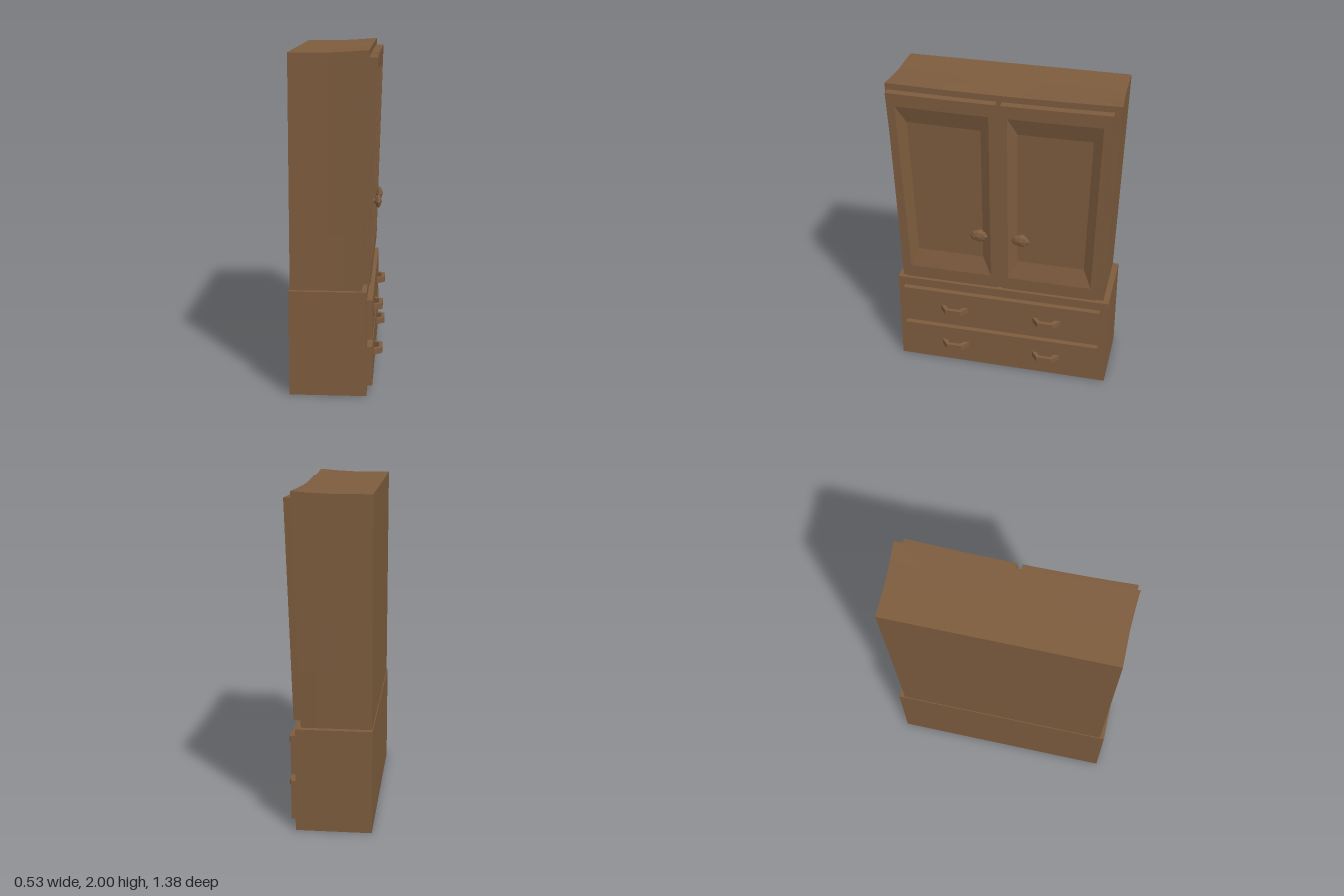
import * as THREE from 'three';

const wood = new THREE.MeshStandardMaterial({ color: 0x7d5c3e, flatShading: true });
const lerp = THREE.MathUtils.lerp;

const BASE_TOP = 0.625, CARCASS_TOP = 1.985;
const rise = (y) => (y - BASE_TOP) / (CARCASS_TOP - BASE_TOP);
const bow = (z) => (z / 0.68) ** 2;
// The cabinet front leans out towards the top and is slightly hollow in the middle
const frontX = (y, z) => 0.15 + 0.03 * rise(y) + 0.01 * rise(y) * bow(z);

function add(parent, name, geometry, x = 0, y = 0, z = 0) {
  const mesh = new THREE.Mesh(geometry, wood);
  mesh.name = name;
  mesh.position.set(x, y, z);
  parent.add(mesh);
  return mesh;
}

// Box given by its lower and upper limits
function addBox(parent, name, [x0, x1], [y0, y1], [z0, z1]) {
  return add(parent, name, new THREE.BoxGeometry(x1 - x0, y1 - y0, z1 - z0),
    (x0 + x1) / 2, (y0 + y1) / 2, (z0 + z1) / 2);
}

// Upper cabinet: a box flared towards its top and front
function carcassGeometry() {
  const g = new THREE.BoxGeometry(1, 1, 1, 4, 4, 8);
  const p = g.attributes.position;
  for (let i = 0; i < p.count; i++) {
    const t = p.getY(i) + 0.5, u = p.getX(i) + 0.5, v = p.getZ(i) * 2;
    const flare = Math.max(0, u * 2.4 - 1.4);
    const z = lerp(0.012, 0, t) + v * (lerp(0.65, 0.677, t) + 0.014 * t * flare);
    const y = lerp(BASE_TOP, CARCASS_TOP, t);
    p.setXYZ(i, lerp(-0.265, frontX(y, z), u), y + 0.014 * t * flare * v * v, z);
  }
  g.computeVertexNormals();
  return g;
}

// One door: loops from the back outline, over the frame, down into the sunk panel
function doorGeometry(side) {
  const STEPS = 5;
  // [offset from cabinet front, y bottom, y top, inner z, outer z at bottom, outer z at top]
  const loops = [
    [-0.01, 0.655, 1.947, 0.015, 0.61, 0.662],
    [0.048, 0.655, 1.947, 0.015, 0.61, 0.662],
    [0.048, 0.74, 1.867, 0.055, 0.575, 0.61],
    [0.018, 0.86, 1.757, 0.11, 0.525, 0.552],
  ].map(([dx, y0, y1, zi, zo0, zo1]) => {
    let corners = [[y0, zo0], [y0, zi], [y1, zi], [y1, zo1]];
    if (side < 0) corners = [corners[1], corners[0], corners[3], corners[2]];
    const pts = [];
    corners.forEach((a, k) => {
      const b = corners[(k + 1) % 4];
      for (let j = 0; j < STEPS; j++) {
        const y = lerp(a[0], b[0], j / STEPS);
        const z = 0.015 + side * lerp(a[1], b[1], j / STEPS);
        pts.push([frontX(y, z) + dx, y + 0.013 * rise(y) * bow(z), z]);
      }
    });
    return pts;
  });
  const n = STEPS * 4, pos = [];
  const tri = (...v) => v.forEach((q) => pos.push(...q));
  for (let r = 0; r < loops.length - 1; r++) {
    for (let i = 0; i < n; i++) {
      const j = (i + 1) % n, a = loops[r], b = loops[r + 1];
      tri(a[i], a[j], b[j]);
      tri(a[i], b[j], b[i]);
    }
  }
  // Panel surface: strips between its bottom and top edges
  const last = loops[loops.length - 1];
  const bottom = (i) => last[i], top = (i) => last[3 * STEPS - i];
  for (let i = 0; i < STEPS; i++) {
    tri(bottom(i), bottom(i + 1), top(i + 1));
    tri(bottom(i), top(i + 1), top(i));
  }
  const g = new THREE.BufferGeometry();
  g.setAttribute('position', new THREE.Float32BufferAttribute(pos, 3));
  g.computeVertexNormals();
  return g;
}

// Faceted knob on a short stem, turned to point along +x
function knobGeometry() {
  const profile = [[0.02, -0.04], [0.02, 0], [0.042, 0.005], [0.057, 0.018], [0.042, 0.031], [0, 0.04]]
    .map(([r, h]) => new THREE.Vector2(r, h));
  const g = new THREE.LatheGeometry(profile, 8);
  g.rotateZ(-Math.PI / 2);
  g.scale(1, 0.75, 1);
  return g;
}

// Bent bar pull, drawn in plan and extruded upwards
function handleGeometry() {
  const h = 0.036;
  const shape = new THREE.Shape([
    [0, -0.09], [0.052, -0.05], [0.052, 0.05], [0, 0.09],
    [0, 0.058], [0.03, 0.036], [0.03, -0.036], [0, -0.058],
  ].map(([x, z]) => new THREE.Vector2(x, z)));
  const g = new THREE.ExtrudeGeometry(shape, { depth: h, bevelEnabled: false });
  g.rotateX(Math.PI / 2);
  g.translate(0, h / 2, 0);
  return g;
}

export function createModel() {
  const model = new THREE.Group();
  model.name = 'wardrobe';

  addBox(model, 'drawerBase', [-0.27, 0.18], [0, BASE_TOP], [-0.675, 0.69]);
  add(model, 'upperCabinet', carcassGeometry());

  // Doors with knobs
  for (const side of [1, -1]) {
    const door = new THREE.Group();
    door.name = side > 0 ? 'leftDoor' : 'rightDoor';
    add(door, 'doorPanel', doorGeometry(side));
    add(door, 'doorKnob', knobGeometry(), 0.21, 1.05, 0.007 + side * 0.13);
    model.add(door);
  }

  // Drawers, each with two pulls
  [[0.05, 0.287], [0.33, 0.567]].forEach((yRange, i) => {
    const drawer = new THREE.Group();
    drawer.name = i ? 'upperDrawer' : 'lowerDrawer';
    addBox(drawer, 'drawerFront', [0.17, 0.213], yRange, [-0.625, 0.647]);
    for (const z of [0.31, -0.29]) {
      add(drawer, 'drawerHandle', handleGeometry(), 0.212, (yRange[0] + yRange[1]) / 2, z);
    }
    model.add(drawer);
  });

  return model;
}
